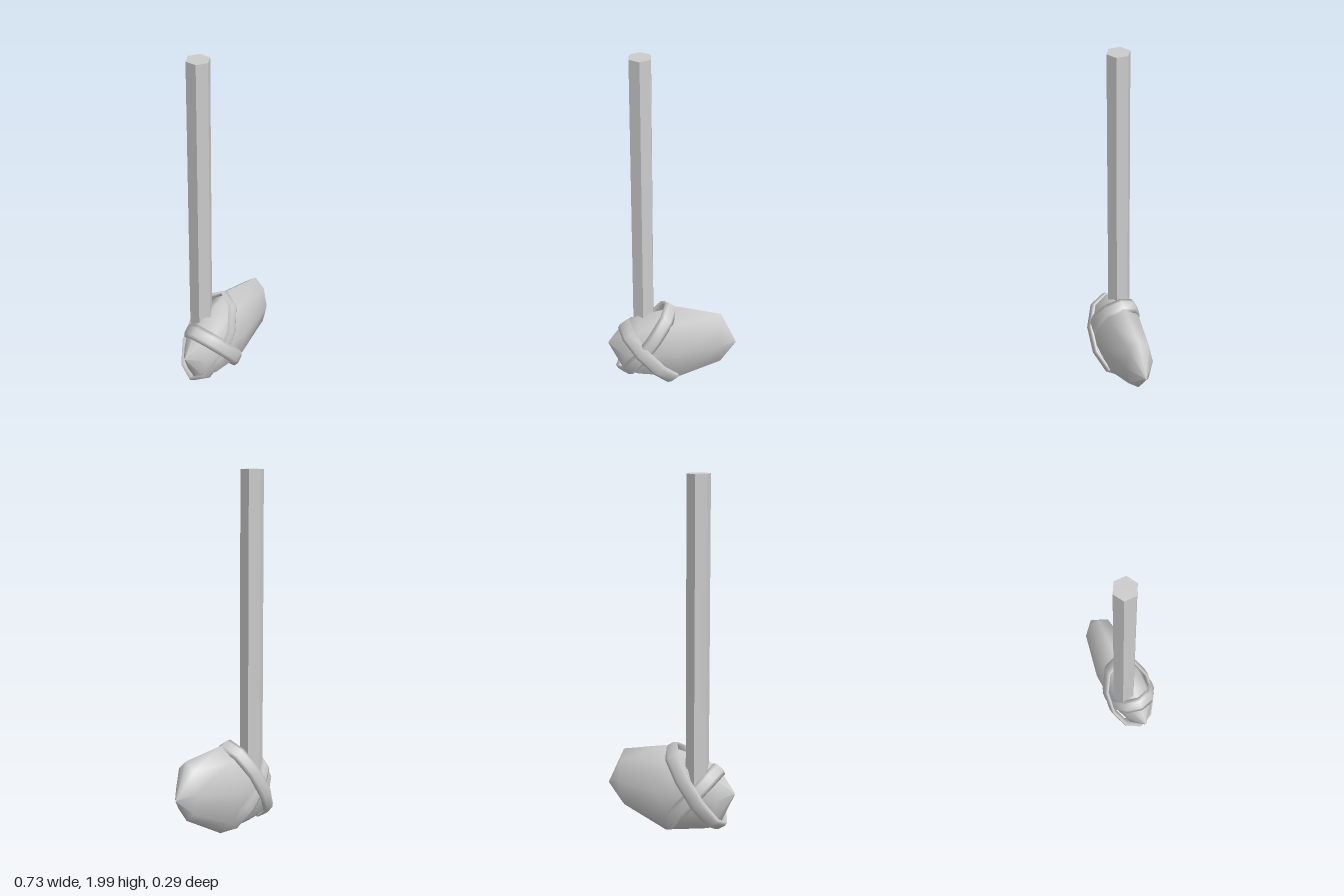
import * as THREE from 'three';

const stoneMaterial = new THREE.MeshStandardMaterial({ color: 0xcccccc });
const handleMaterial = new THREE.MeshStandardMaterial({ color: 0xcccccc, flatShading: true });

// Skins a list of equal-sized point rings; closed joins the last ring to the first
function loft(rings, closed) {
  const sides = rings[0].length;
  const count = rings.length;
  const index = [];
  for (let i = 0; i < (closed ? count : count - 1); i++) {
    for (let j = 0; j < sides; j++) {
      const k = (j + 1) % sides;
      const next = ((i + 1) % count) * sides;
      const a = i * sides + j, b = i * sides + k, c = next + j, d = next + k;
      index.push(a, b, c, b, d, c);
    }
  }
  const geometry = new THREE.BufferGeometry().setFromPoints(rings.flat());
  geometry.setIndex(index);
  geometry.computeVertexNormals();
  return geometry;
}

// Stone head: faceted rings along x, [x, bottom, top, centre z, half depth]
function createStone() {
  const sections = [
    [-0.365, 0.255, 0.265, 0, 0.004],
    [-0.275, 0.06, 0.40, 0, 0.08],
    [-0.19, 0.04, 0.45, 0, 0.118],
    [0.03, 0.01, 0.505, -0.005, 0.125],
    [0.275, 0.13, 0.46, 0, 0.085],
    [0.362, 0.255, 0.265, -0.01, 0.004],
  ];
  const rings = sections.map(([x, low, high, z, depth]) =>
    Array.from({ length: 8 }, (_, j) => {
      const a = (j / 8) * Math.PI * 2;
      return new THREE.Vector3(
        x, (low + high) / 2 + Math.cos(a) * (high - low) / 2, z + Math.sin(a) * depth);
    }));
  return new THREE.Mesh(loft(rings, false), stoneMaterial);
}

// Binding: flat lens-section band on a tilted elliptical loop between two points
function createBinding(top, bottom, zOffset) {
  const centre = new THREE.Vector3((top[0] + bottom[0]) / 2, (top[1] + bottom[1]) / 2, zOffset);
  const along = new THREE.Vector3(top[0] - bottom[0], top[1] - bottom[1], 0);
  const length = along.length() / 2;
  along.normalize();
  const depth = 0.134, halfWidth = 0.043, halfThickness = 0.013;
  const zAxis = new THREE.Vector3(0, 0, 1);
  const across = new THREE.Vector3().crossVectors(zAxis, along);
  const rings = [];
  for (let i = 0; i < 10; i++) {
    const t = (i / 10) * Math.PI * 2;
    const point = centre.clone()
      .addScaledVector(along, Math.cos(t) * length)
      .addScaledVector(zAxis, Math.sin(t) * depth);
    const outward = along.clone().multiplyScalar(Math.cos(t) / length)
      .addScaledVector(zAxis, Math.sin(t) / depth).normalize();
    rings.push(Array.from({ length: 6 }, (_, j) => {
      const a = ((j + 0.5) / 6) * Math.PI * 2;
      return point.clone()
        .addScaledVector(outward, Math.cos(a) * halfThickness)
        .addScaledVector(across, Math.sin(a) * halfWidth);
    }));
  }
  return new THREE.Mesh(loft(rings, true), stoneMaterial);
}

export function createModel() {
  const model = new THREE.Group();
  model.name = 'stoneHammer';

  // Six-sided shaft sunk into the head
  const handle = new THREE.Mesh(new THREE.CylinderGeometry(0.065, 0.065, 1.8, 6), handleMaterial);
  handle.position.set(-0.164, 1.1, -0.045);
  handle.name = 'handle';

  const stone = createStone();
  stone.name = 'stoneHead';

  // Two crossing bindings, each lying on top on one side
  const backBinding = createBinding([-0.003, 0.506], [-0.29, 0.07], -0.006);
  backBinding.name = 'backBinding';
  const frontBinding = createBinding([-0.275, 0.395], [0.035, 0.035], 0.006);
  frontBinding.name = 'frontBinding';

  model.add(handle, stone, backBinding, frontBinding);
  return model;
}
